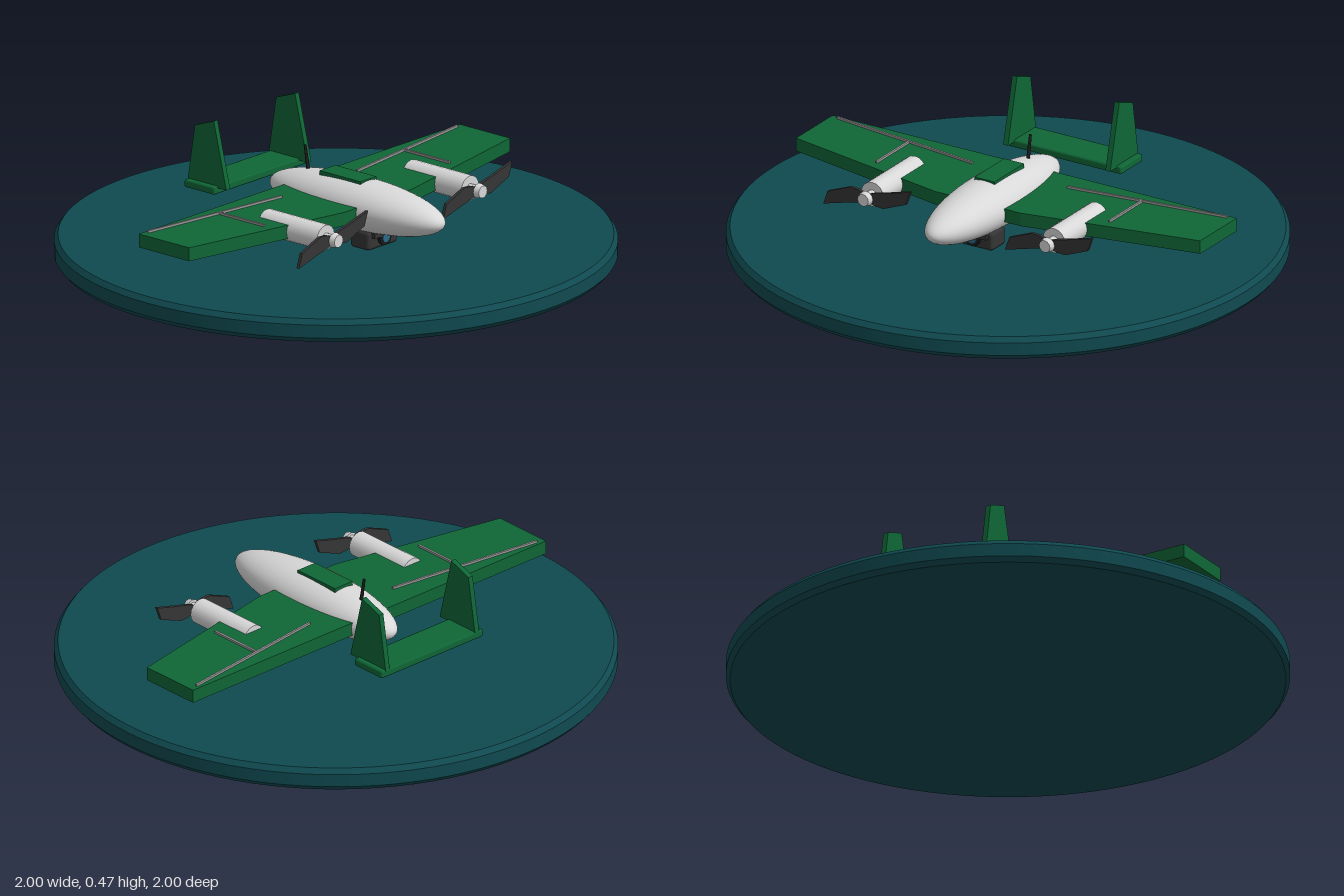
import * as THREE from 'three';
import { toCreasedNormals } from 'three/addons/utils/BufferGeometryUtils.js';
import { RoundedBoxGeometry } from 'three/addons/geometries/RoundedBoxGeometry.js';

const material = (name, color) => {
  const m = new THREE.MeshStandardMaterial({ color });
  m.name = name;
  return m;
};

export function createModel() {
  const teal = material('baseTeal', 0x0f4a50);
  const green = material('wingGreen', 0x0f6636);
  const white = material('bodyWhite', 0xd8d8d8);
  const dark = material('darkGrey', 0x353535);
  const black = material('black', 0x1c1c1c);
  const grey = material('panelGrey', 0x9c9c9c);
  const glass = material('lensBlue', 0x2a6a85);

  const model = new THREE.Group();
  model.name = 'twinEngineDrone';

  const add = (name, geometry, mat, x = 0, y = 0, z = 0, parent = model) => {
    const mesh = new THREE.Mesh(geometry, mat);
    mesh.name = name;
    mesh.position.set(x, y, z);
    parent.add(mesh);
    return mesh;
  };
  const points = (list) => list.map(([x, y]) => new THREE.Vector2(x, y));
  const extrude = (list, depth) => new THREE.ExtrudeGeometry(
    new THREE.Shape(points(list)), { depth, bevelEnabled: false });
  // Cylinder lying along z, larger z is the front
  const barrel = (front, back, length, sides) =>
    new THREE.CylinderGeometry(front, back, length, sides).rotateX(Math.PI / 2);

  // Display base with chamfered rims
  const rim = points([[0, 0], [0.985, 0], [1, 0.018], [1, 0.066], [0.985, 0.085], [0, 0.085]]);
  add('displayBase', toCreasedNormals(new THREE.LatheGeometry(rim, 96), 0.4), teal);

  // Fuselage
  const hull = new THREE.SphereGeometry(1, 40, 28).rotateX(Math.PI / 2).scale(0.12, 0.092, 0.405);
  add('fuselage', hull, white, 0, 0.225, 0.103);
  add('topHatch', new THREE.BoxGeometry(0.084, 0.022, 0.195), green, 0, 0.31, 0.057);
  const antenna = add('antenna', new THREE.CylinderGeometry(0.005, 0.007, 0.1, 8), black, 0, 0.335, -0.139);
  antenna.rotation.x = -0.17;

  // Wing, straight trailing edge and swept leading edge
  const wing = extrude([[-0.85, -0.175], [0.85, -0.175], [0.85, 0.065],
    [0.18, 0.2], [-0.18, 0.2], [-0.85, 0.065]], 0.05).rotateX(Math.PI / 2);
  add('wing', wing, green, 0, 0.25, 0);

  // Thin panel line on the wing from [x, z] to [x, z]
  const panelLine = (name, [x1, z1], [x2, z2]) => {
    const length = Math.hypot(x2 - x1, z2 - z1);
    const line = add(name, new THREE.BoxGeometry(length, 0.008, 0.008), grey,
      (x1 + x2) / 2, 0.254, (z1 + z2) / 2);
    line.rotation.y = -Math.atan2(z2 - z1, x2 - x1);
  };

  // Propeller blade, widest near the root, mirrored by a half turn
  const blade = extrude([[0, -0.012], [0.035, -0.024], [0.07, -0.026], [0.165, 0.012],
    [0.183, 0.064], [0.08, 0.036], [0.03, 0.024], [0, 0.012]], 0.012);

  for (const side of [-1, 1]) {
    const label = side > 0 ? 'left' : 'right';
    panelLine(label + 'AileronLine', [side * 0.2, -0.079], [side * 0.82, -0.16]);
    panelLine(label + 'RibLine', [side * 0.49, -0.112], [side * 0.49, 0.1]);

    // Engine with spinner and propeller
    const engine = new THREE.Group();
    engine.name = label + 'Engine';
    engine.position.set(side * 0.382, 0.225, 0);
    model.add(engine);
    add('nacelle', barrel(0.047, 0.047, 0.28, 16), white, 0, 0, 0.155, engine);
    add('propellerShaft', barrel(0.018, 0.018, 0.05, 12), white, 0, 0, 0.315, engine);
    add('spinner', barrel(0.023, 0.028, 0.022, 12), white, 0, 0, 0.346, engine);
    for (const turn of [0, Math.PI]) {
      add('propellerBlade', blade, dark, 0, 0, 0.32, engine).rotation.z = turn;
    }

    // Tail fin
    const fin = extrude([[-0.32, 0.23], [-0.505, 0.23], [-0.47, 0.442], [-0.38, 0.475]], 0.02)
      .rotateY(-Math.PI / 2).translate(0.01, 0, 0);
    add(label + 'TailFin', fin, green, side * 0.215, 0, 0);
  }

  // Tailplane joining the fins
  add('tailplane', new RoundedBoxGeometry(0.49, 0.03, 0.145, 1, 0.008), green, 0, 0.222, -0.433);

  // Camera pod under the nose
  const pod = new THREE.Group();
  pod.name = 'cameraPod';
  model.add(pod);
  add('podMount', new THREE.BoxGeometry(0.12, 0.025, 0.11), dark, 0, 0.143, 0.185, pod);
  add('podBody', new RoundedBoxGeometry(0.155, 0.068, 0.09, 2, 0.012), dark, 0, 0.119, 0.18, pod);
  add('lensRing', barrel(0.03, 0.03, 0.015, 20), black, 0, 0.124, 0.23, pod);
  add('lens', barrel(0.02, 0.02, 0.006, 20), glass, 0, 0.124, 0.239, pod);

  return model;
}
